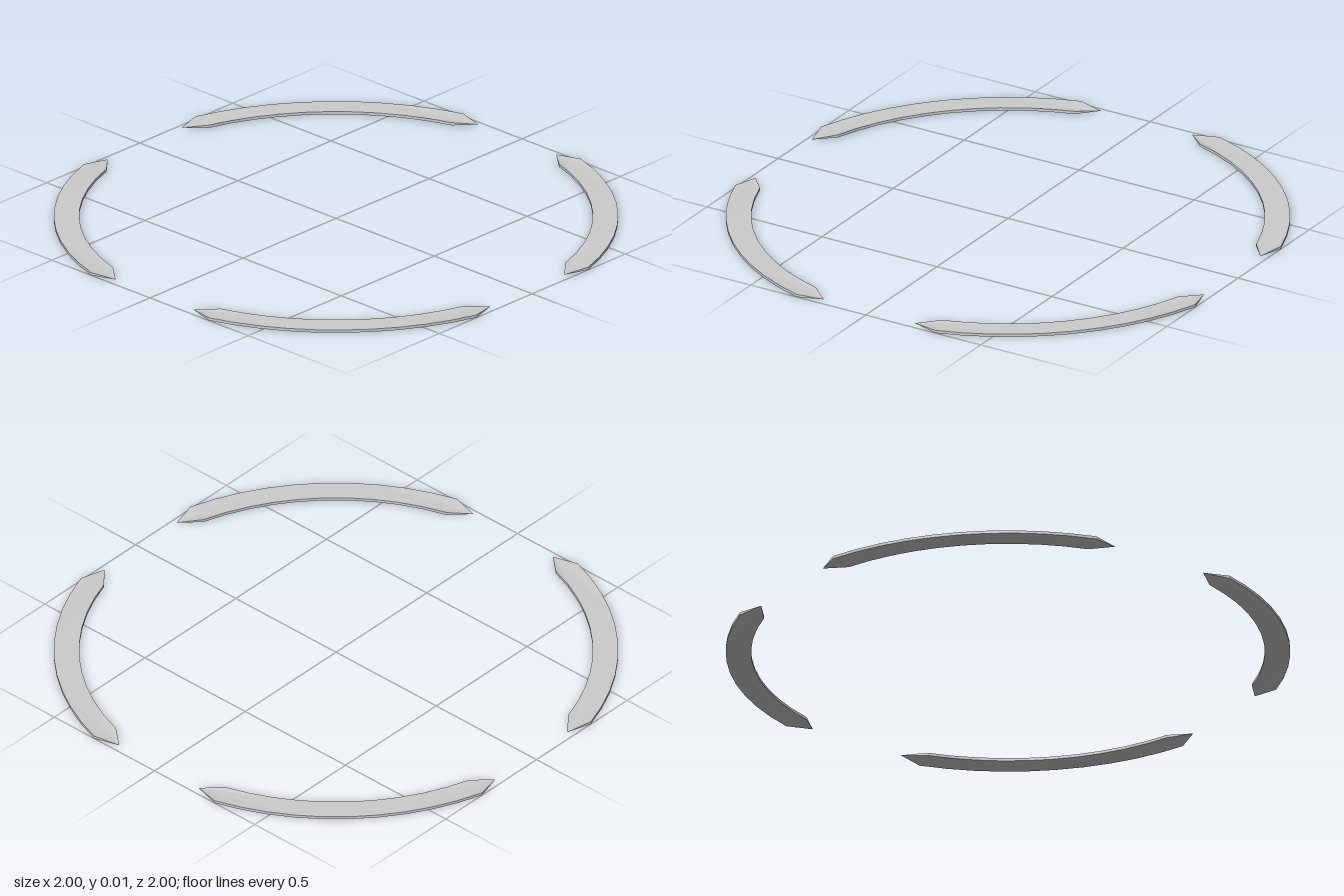
import * as THREE from 'three';

const OUTER = 1.044, INNER = 0.95, TIP = 0.995;
const THICK = 0.011, SEGMENTS = 10;
const END = THREE.MathUtils.degToRad(16.75);
const TIP_ANGLE = THREE.MathUtils.degToRad(11.5);

const polar = (r, a) => new THREE.Vector2(r * Math.cos(a), r * Math.sin(a));

// Curved bar covering most of a quarter ring, pointed at both ends
function arcGeometry() {
  const quarter = Math.PI / 2;
  const angle = (i) => END + (quarter - 2 * END) * (i / SEGMENTS);
  const points = [polar(TIP, TIP_ANGLE)];
  for (let i = 0; i <= SEGMENTS; i++) points.push(polar(OUTER, angle(i)));
  points.push(polar(TIP, quarter - TIP_ANGLE));
  for (let i = SEGMENTS; i >= 0; i--) points.push(polar(INNER, angle(i)));

  const geometry = new THREE.ExtrudeGeometry(new THREE.Shape(points), { depth: THICK, bevelEnabled: false });
  geometry.rotateX(-Math.PI / 2);

  // Pinch each end to a thin point at mid height
  const pos = geometry.attributes.position;
  for (let i = 0; i < pos.count; i++) {
    const a = Math.atan2(-pos.getZ(i), pos.getX(i));
    if (a < END - 0.01 || a > quarter - END + 0.01) pos.setY(i, THICK / 2);
  }
  geometry.computeVertexNormals();
  return geometry;
}

export function createModel() {
  const group = new THREE.Group();
  group.name = 'segmentedRing';
  const material = new THREE.MeshStandardMaterial({ color: 0xcccccc, flatShading: true });
  const geometry = arcGeometry();

  // Four equal arcs around the ring
  ['backLeftArc', 'backRightArc', 'frontRightArc', 'frontLeftArc'].forEach((name, i) => {
    const arc = new THREE.Mesh(geometry, material);
    arc.name = name;
    arc.rotation.y = i * Math.PI / 2;
    group.add(arc);
  });
  return group;
}
